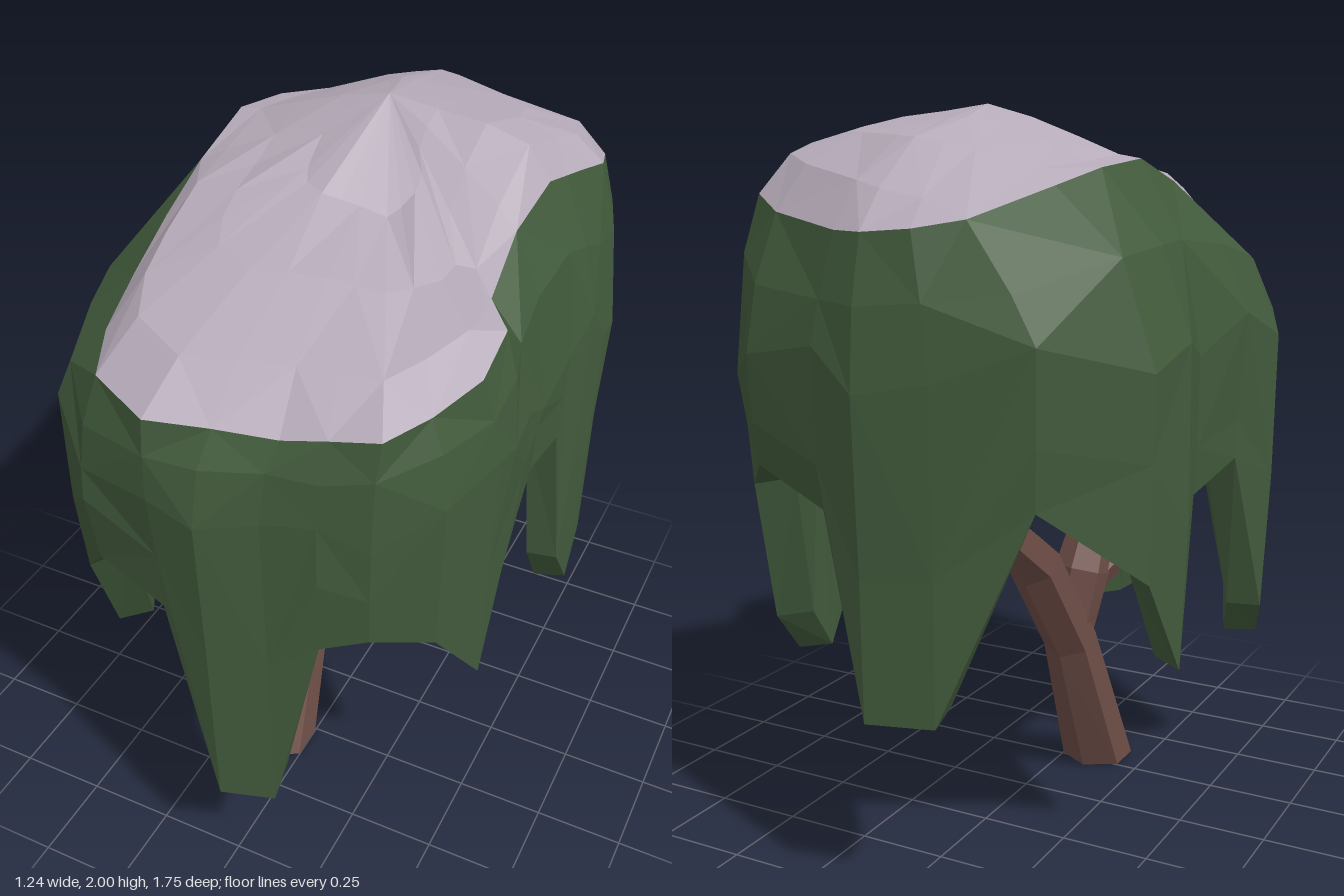
import * as THREE from 'three';

const leafMat = new THREE.MeshStandardMaterial({ color: 0x425b3c });
const snowMat = new THREE.MeshStandardMaterial({ color: 0xb6abb9 });
const barkMat = new THREE.MeshStandardMaterial({ color: 0x704f48 });
leafMat.name = 'leaf green';
snowMat.name = 'snow';
barkMat.name = 'bark brown';

// Crown outline from the back round by +x: x, z, height of the hanging hem
const OUTLINE = [
  [0, -0.87, 0.52], [0.14, -0.82, 1.03], [0.4, -0.74, 1.1], [0.55, -0.58, 1.0], [0.61, -0.43, 0.57],
  [0.615, -0.32, 0.44], [0.61, -0.21, 0.6], [0.59, -0.13, 1.1], [0.57, 0.03, 1.09], [0.59, 0.18, 1.05],
  [0.61, 0.34, 0.98], [0.6, 0.44, 0.7], [0.55, 0.64, 0.96], [0.42, 0.76, 1.01], [0.3, 0.8, 0.97],
  [0.17, 0.83, 0.37], [0.03, 0.89, 0.39], [-0.1, 0.88, 1.02], [-0.32, 0.83, 1.06], [-0.47, 0.7, 0.87],
  [-0.57, 0.48, 0.44], [-0.62, 0.36, 0.56], [-0.6, 0.14, 1.05], [-0.58, -0.14, 1.0], [-0.62, -0.31, 0.58],
  [-0.6, -0.48, 0.85], [-0.42, -0.75, 1.07], [-0.19, -0.84, 0.53],
];

// Lower edge of the snow, one point for each outline point: x, z, y
const SNOW_EDGE = [
  [0, -0.81, 1.7], [0.1, -0.77, 1.7], [0.38, -0.62, 1.73], [0.51, -0.52, 1.77], [0.55, -0.36, 1.82],
  [0.52, -0.28, 1.83], [0.5, -0.21, 1.84], [0.48, -0.14, 1.85], [0.46, 0.03, 1.79], [0.46, 0.18, 1.68],
  [0.56, 0.34, 1.71], [0.56, 0.48, 1.66], [0.5, 0.62, 1.63], [0.43, 0.73, 1.61], [0.31, 0.75, 1.59],
  [0.2, 0.77, 1.57], [0.05, 0.81, 1.58], [-0.1, 0.86, 1.59], [-0.28, 0.77, 1.6], [-0.35, 0.62, 1.62],
  [-0.38, 0.45, 1.67], [-0.4, 0.25, 1.74], [-0.42, 0.04, 1.8], [-0.42, -0.18, 1.86], [-0.39, -0.35, 1.84],
  [-0.34, -0.5, 1.8], [-0.24, -0.74, 1.73], [-0.13, -0.8, 1.71],
];

// Height of the snow ridge along the crown: z, y
const RIDGE = [[-0.85, 1.7], [-0.67, 1.86], [-0.48, 1.94], [-0.14, 2], [0, 1.92], [0.15, 1.85],
  [0.4, 1.79], [0.6, 1.74], [0.73, 1.7], [0.9, 1.58]];

const { lerp, clamp } = THREE.MathUtils;
const jitter = (i, k) => {
  const s = Math.sin(i * 12.9898 + k * 78.233) * 43758.5453;
  return (s - Math.floor(s)) * 2 - 1;
};

// Snow surface: the ridge, falling to the -x side, with a valley on the +x side
function snowHeight(x, z) {
  const i = Math.max(1, RIDGE.findIndex((p) => z <= p[0]));
  const [z0, y0] = RIDGE[i - 1], [z1, y1] = RIDGE[i];
  const tilt = 0.34 * Math.max(0, -x) * clamp((0.2 - z) / 0.3, 0, 1) + 0.1 * Math.max(0, x);
  const valley = 0.09 * Math.max(0, 1 - Math.abs(z - 0.16) / 0.25) * clamp(x / 0.25, 0, 1);
  return lerp(y0, y1, (z - z0) / (z1 - z0)) - tilt - valley;
}

// Faceted skin over closed rings of equal length, listed upwards
function skin(rings) {
  const out = [];
  const tri = (a, b, c) => {
    if (a.distanceTo(b) < 1e-5 || b.distanceTo(c) < 1e-5 || a.distanceTo(c) < 1e-5) return;
    for (const p of [a, b, c]) out.push(p.x, p.y, p.z);
  };
  for (let j = 0; j < rings.length - 1; j++) {
    const n = rings[j].length;
    for (let i = 0; i < n; i++) {
      const k = (i + 1) % n;
      const a = rings[j][i], b = rings[j][k], c = rings[j + 1][k], d = rings[j + 1][i];
      if ((i + j) % 2) { tri(a, d, b); tri(b, d, c); } else { tri(a, d, c); tri(a, c, b); }
    }
  }
  const geo = new THREE.BufferGeometry();
  geo.setAttribute('position', new THREE.Float32BufferAttribute(out, 3));
  geo.computeVertexNormals();
  return geo;
}

function addMesh(group, name, geo, mat) {
  const mesh = new THREE.Mesh(geo, mat);
  mesh.name = name;
  group.add(mesh);
}

// Six-sided limb through points given as [x, y, z, radius]
function limb(points, flatFoot = false) {
  const up = new THREE.Vector3(0, 1, 0);
  const at = points.map((p) => new THREE.Vector3(p[0], p[1], p[2]));
  const rings = at.map((p, j) => {
    const dir = at[Math.min(j + 1, at.length - 1)].clone().sub(at[Math.max(j - 1, 0)]).normalize();
    const turn = new THREE.Quaternion();
    if (j > 0 || !flatFoot) turn.setFromUnitVectors(up, dir);
    return Array.from({ length: 6 }, (_, i) => {
      const a = (i * Math.PI) / 3;
      const r = points[j][3];
      return new THREE.Vector3(Math.sin(a) * r, 0, -Math.cos(a) * r).applyQuaternion(turn).add(p);
    });
  });
  const cap = (p) => Array(6).fill(p);
  return skin([cap(at[0]), ...rings, cap(at[at.length - 1])]);
}

export function createModel() {
  const tree = new THREE.Group();
  tree.name = 'snowyWillowTree';

  // Leaf crown: ceiling, inside of the strands, hem, then the outside up to the snow
  const ring = (fn) => OUTLINE.map(([x, z, hem], i) => fn(x, z, hem, i, SNOW_EDGE[i]));
  const scaled = (x, z, s, y) => new THREE.Vector3(x * s, y, z * s);
  const snowEdge = ring((x, z, hem, i, e) => new THREE.Vector3(e[0], e[2], e[1]));
  const ceiling = new THREE.Vector3(0, 1.37, 0);
  addMesh(tree, 'leafCrown', skin([
    ring(() => ceiling),
    ring((x, z) => scaled(x, z, 0.6, 1.34)),
    ring((x, z) => scaled(x, z, 0.79, 1.13)),
    ring((x, z, hem) => scaled(x, z, 0.83, hem + 0.01)),
    ring((x, z, hem) => scaled(x, z, 0.97, hem)),
    ring((x, z, hem, i) => scaled(x, z, 0.985 + jitter(i, 1) * 0.015, lerp(hem, 1.36, 0.5) + jitter(i, 2) * 0.06)),
    ring((x, z, hem, i) => scaled(x, z, 1 + jitter(i, 3) * 0.012, 1.38 + jitter(i, 4) * 0.08)),
    ring((x, z, hem, i, e) => new THREE.Vector3(
      lerp(x, e[0], 0.35), lerp(1.37, e[2], 0.58) + jitter(i, 5) * 0.03, lerp(z, e[1], 0.35))),
    snowEdge,
  ]), leafMat);

  // Snow cap: edge drawn in towards the peak
  const peak = new THREE.Vector3(0.04, 2, -0.14);
  const snowRing = (t, w) => snowEdge.map((e) => {
    const p = peak.clone().lerp(e, t);
    p.y = lerp(e.y, snowHeight(p.x, p.z), w);
    return p;
  });
  addMesh(tree, 'snowCap', skin([
    snowEdge, snowRing(0.86, 0.8), snowRing(0.6, 1), snowRing(0.3, 1), snowEdge.map(() => peak),
  ]), snowMat);

  // Leaning trunk and its branches
  addMesh(tree, 'trunk', limb([
    [-0.095, 0, 0.31, 0.108], [-0.115, 0.47, 0.06, 0.078], [-0.11, 0.76, -0.16, 0.075],
    [-0.1, 0.96, -0.44, 0.062], [-0.1, 1.2, -0.7, 0.05],
  ], true), barkMat);
  addMesh(tree, 'frontBranch', limb([
    [-0.115, 0.48, 0.06, 0.065], [-0.14, 0.68, 0.09, 0.08], [-0.15, 0.87, 0.17, 0.058], [-0.13, 1.16, 0.2, 0.05],
  ]), barkMat);
  addMesh(tree, 'sideBranch', limb([
    [-0.13, 0.64, 0.11, 0.065], [-0.22, 0.77, 0.27, 0.06], [-0.31, 0.9, 0.45, 0.06], [-0.27, 1.16, 0.61, 0.045],
  ]), barkMat);
  addMesh(tree, 'backBranch', limb([
    [-0.1, 0.92, -0.4, 0.045], [0.02, 0.94, -0.15, 0.045], [0.08, 0.97, -0.02, 0.045], [0.08, 1.17, -0.02, 0.042],
  ]), barkMat);

  return tree;
}
